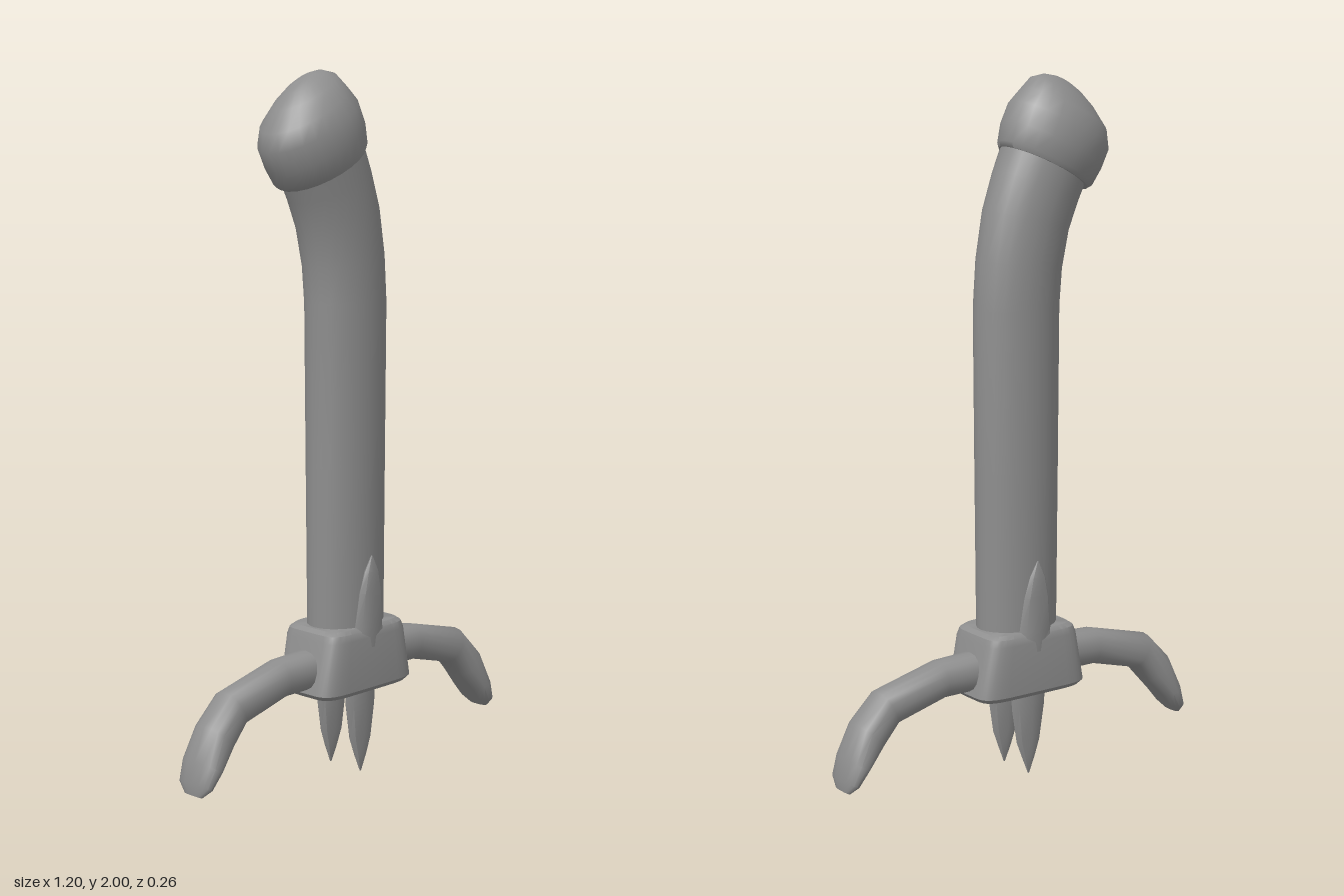
import * as THREE from 'three';
import { toCreasedNormals } from 'three/addons/utils/BufferGeometryUtils.js';

// Skin a list of rings [x, y, tiltDegrees, halfWidth, halfDepth, z] with closed ends.
// power 1 gives elliptical sections, smaller values give squarer ones.
function loft(rings, sides, power = 1, crease = 0.7) {
  const pos = [], index = [];
  const bend = (v) => Math.sign(v) * Math.pow(Math.abs(v), power);
  for (const [x, y, tilt, w, d, z = 0] of rings) {
    const t = THREE.MathUtils.degToRad(tilt);
    for (let i = 0; i < sides; i++) {
      const a = (i / sides) * Math.PI * 2;
      const u = bend(Math.cos(a)) * w, v = bend(Math.sin(a)) * d;
      pos.push(x + Math.cos(t) * u, y + Math.sin(t) * u, z - v);
    }
  }
  for (let r = 0; r < rings.length - 1; r++) {
    for (let i = 0; i < sides; i++) {
      const j = (i + 1) % sides;
      const a = r * sides + i, b = r * sides + j, c = b + sides, d = a + sides;
      index.push(a, b, c, a, c, d);
    }
  }
  // end caps
  const first = rings[0], last = rings[rings.length - 1];
  const start = pos.length / 3, end = start + 1, top = (rings.length - 1) * sides;
  for (const [x, y, , , , z = 0] of [first, last]) pos.push(x, y, z);
  for (let i = 0; i < sides; i++) {
    const j = (i + 1) % sides;
    index.push(start, j, i, end, top + i, top + j);
  }
  const geo = new THREE.BufferGeometry();
  geo.setAttribute('position', new THREE.Float32BufferAttribute(pos, 3));
  geo.setIndex(index);
  return toCreasedNormals(geo, crease);
}

export function createModel() {
  const model = new THREE.Group();
  model.name = 'swordHilt';
  const steel = new THREE.MeshStandardMaterial({ color: 0x8e8e8e });
  steel.name = 'grey steel';

  const add = (name, geo, turned = false) => {
    const mesh = new THREE.Mesh(geo, steel);
    mesh.name = name;
    if (turned) mesh.rotation.y = Math.PI;
    model.add(mesh);
  };

  // Grip: straight below, curving to one side near the top
  add('grip', loft([
    [0, 0.40, 0, 0.125, 0.094],
    [0, 0.90, 0, 0.129, 0.096],
    [0, 1.36, 0, 0.131, 0.100],
    [-0.009, 1.48, 8, 0.131, 0.102],
    [-0.032, 1.60, 15, 0.133, 0.105],
    [-0.065, 1.69, 21, 0.135, 0.108],
    [-0.105, 1.78, 27, 0.138, 0.110],
  ], 24));

  // Pommel: lopsided cap; rows are height along its axis, sideways shift, half sizes
  const cx = -0.1, cy = 1.755, tilt = 27;
  const s = Math.sin(THREE.MathUtils.degToRad(tilt)), c = Math.cos(THREE.MathUtils.degToRad(tilt));
  add('pommel', loft([
    [-0.015, 0, 0.146, 0.114],
    [-0.003, 0, 0.156, 0.120],
    [0.05, 0.003, 0.165, 0.130],
    [0.11, 0.004, 0.167, 0.126],
    [0.155, 0.010, 0.147, 0.108],
    [0.195, 0.035, 0.110, 0.074],
    [0.218, 0.045, 0.070, 0.042],
    [0.228, 0.048, 0.035, 0.020],
  ].map(([h, u, w, d]) => [cx + c * u - s * h, cy + s * u + c * h, tilt, w, d]), 24, 1, 0.9));

  // Guard block: tapered rounded box with chamfered rims
  add('guardBlock', loft([
    [0, 0.248, 0, 0.172, 0.100],
    [0, 0.262, 0, 0.185, 0.112],
    [0, 0.410, 0, 0.156, 0.111],
    [0, 0.430, 0, 0.149, 0.106],
    [0, 0.440, 0, 0.135, 0.095],
  ], 32, 0.35, 0.6));

  for (const turned of [false, true]) {
    const side = turned ? 'right' : 'left';
    const face = turned ? 'back' : 'front';

    // Drooping arm flattening into a spoon-shaped tip
    add(side + 'GuardArm', loft([
      [0.14, 0.325, -90, 0.055, 0.055],
      [0.27, 0.322, -96, 0.053, 0.054],
      [0.45, 0.275, -118, 0.055, 0.055],
      [0.512, 0.210, -138, 0.053, 0.061],
      [0.557, 0.137, -150, 0.034, 0.071],
      [0.583, 0.086, -156, 0.020, 0.062],
      [0.592, 0.060, -162, 0.008, 0.034],
    ], 16, 0.85, 0.8), turned);

    // Pointed tongue lying along the grip
    add(face + 'UpperTongue', loft([
      [0, 0.38, 0, 0.062, 0.022, 0.090],
      [0, 0.44, 0, 0.055, 0.022, 0.091],
      [0, 0.54, 0, 0.042, 0.018, 0.097],
      [0, 0.60, 0, 0.026, 0.012, 0.102],
      [0, 0.645, 0, 0.002, 0.002, 0.104],
    ], 8, 0.9), turned);

    // Pointed prong hanging below the block
    add(face + 'LowerProng', loft([
      [0, 0.27, 180, 0.062, 0.024, 0.058],
      [0, 0.20, 180, 0.057, 0.023, 0.058],
      [0, 0.10, 180, 0.041, 0.018, 0.058],
      [0, 0.05, 180, 0.022, 0.012, 0.059],
      [0, 0, 180, 0.002, 0.002, 0.060],
    ], 8, 0.9), turned);
  }

  return model;
}
